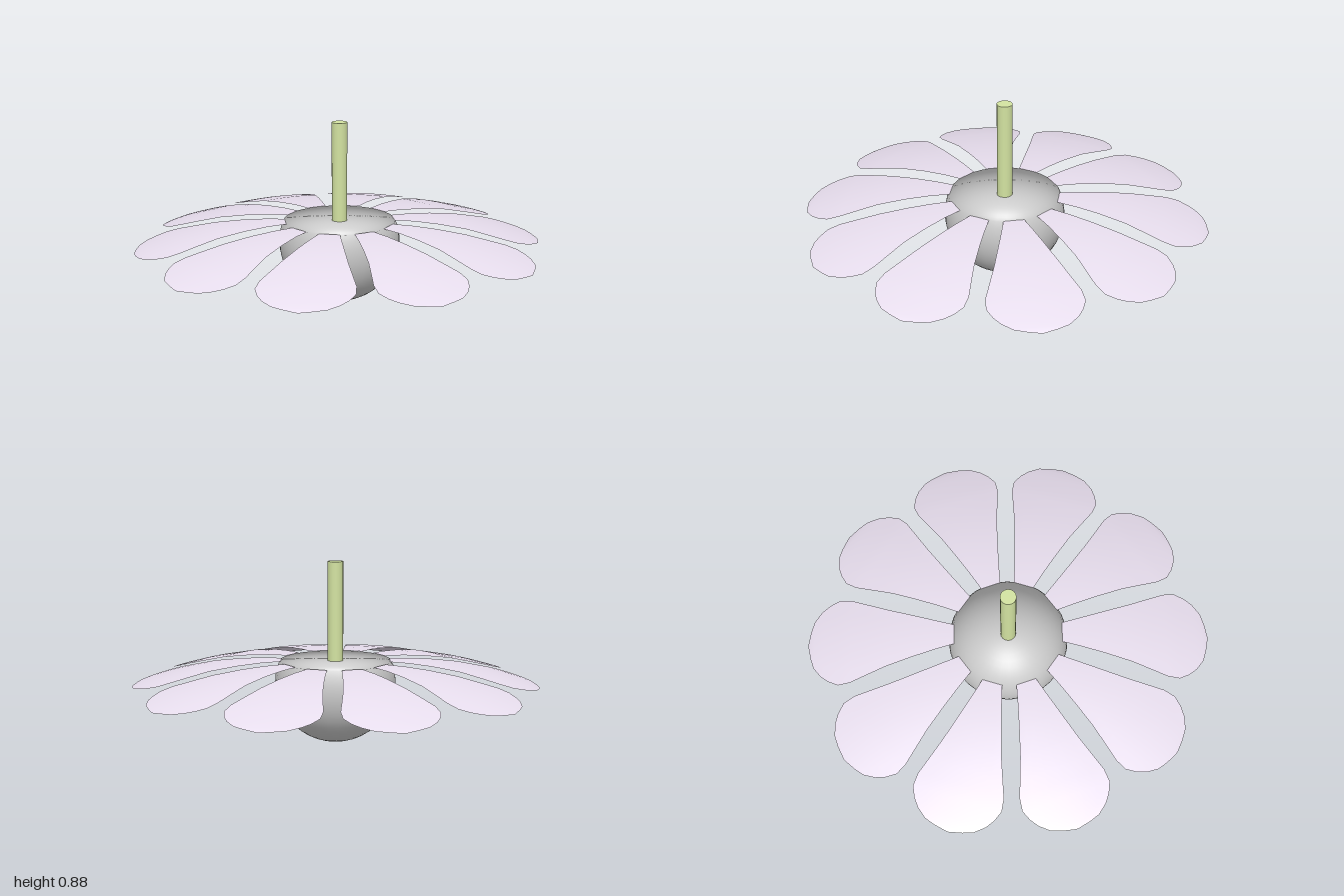
import * as THREE from 'three';

const PETALS = 10;
const RIM_Y = 0.4;

// [distance from centre, half width, height] from base to tip
const STATIONS = [
  [0.265, 0.05, 0.402], [0.36, 0.076, 0.4], [0.47, 0.108, 0.392], [0.6, 0.148, 0.376],
  [0.7, 0.185, 0.355], [0.78, 0.215, 0.338], [0.84, 0.222, 0.322], [0.89, 0.2, 0.307],
  [0.93, 0.17, 0.295], [0.968, 0.122, 0.282], [0.985, 0.07, 0.275], [0.998, 0.006, 0.268],
];

// A thin sheet lofted along +z, slightly crowned across its width
function petalGeometry() {
  const cols = 6;
  const positions = [];
  const index = [];
  STATIONS.forEach(([r, w, y], i) => {
    for (let j = 0; j <= cols; j++) {
      const t = (j / cols) * 2 - 1;
      positions.push(t * w, y - 0.25 * (t * w) ** 2, r);
      if (i < STATIONS.length - 1 && j < cols) {
        const a = i * (cols + 1) + j;
        const b = a + cols + 1;
        index.push(a, b, a + 1, a + 1, b, b + 1);
      }
    }
  });
  const geometry = new THREE.BufferGeometry();
  geometry.setAttribute('position', new THREE.Float32BufferAttribute(positions, 3));
  geometry.setIndex(index);
  geometry.computeVertexNormals();
  return geometry;
}

// A ball with its top cut flat at the rim; the round shading is kept over the cut
function centreGeometry() {
  const R = 0.295;
  const geometry = new THREE.SphereGeometry(R, 32, 24);
  geometry.translate(0, R, 0);
  const p = geometry.attributes.position;
  for (let i = 0; i < p.count; i++) p.setY(i, Math.min(p.getY(i), RIM_Y));
  return geometry;
}

export function createModel() {
  const flower = new THREE.Group();
  flower.name = 'flower';

  const grey = new THREE.MeshStandardMaterial({ color: 0xcccccc });
  const green = new THREE.MeshStandardMaterial({ color: 0xd3e3a1 });
  const lilac = new THREE.MeshStandardMaterial({ color: 0xe8deee, side: THREE.DoubleSide });

  // Flower centre
  const centre = new THREE.Mesh(centreGeometry(), grey);
  centre.name = 'centre';
  flower.add(centre);

  // Stem rising from the flat side of the centre
  const stemHeight = 0.885 - RIM_Y;
  const stem = new THREE.Mesh(new THREE.CylinderGeometry(0.038, 0.038, stemHeight, 16), green);
  stem.name = 'stem';
  stem.position.y = RIM_Y + stemHeight / 2;
  flower.add(stem);

  // Ring of petals
  const petals = new THREE.Group();
  petals.name = 'petals';
  const shape = petalGeometry();
  for (let i = 0; i < PETALS; i++) {
    const petal = new THREE.Mesh(shape, lilac);
    petal.name = `petal${i + 1}`;
    petal.rotation.y = (i / PETALS) * Math.PI * 2;
    petals.add(petal);
  }
  flower.add(petals);

  return flower;
}
